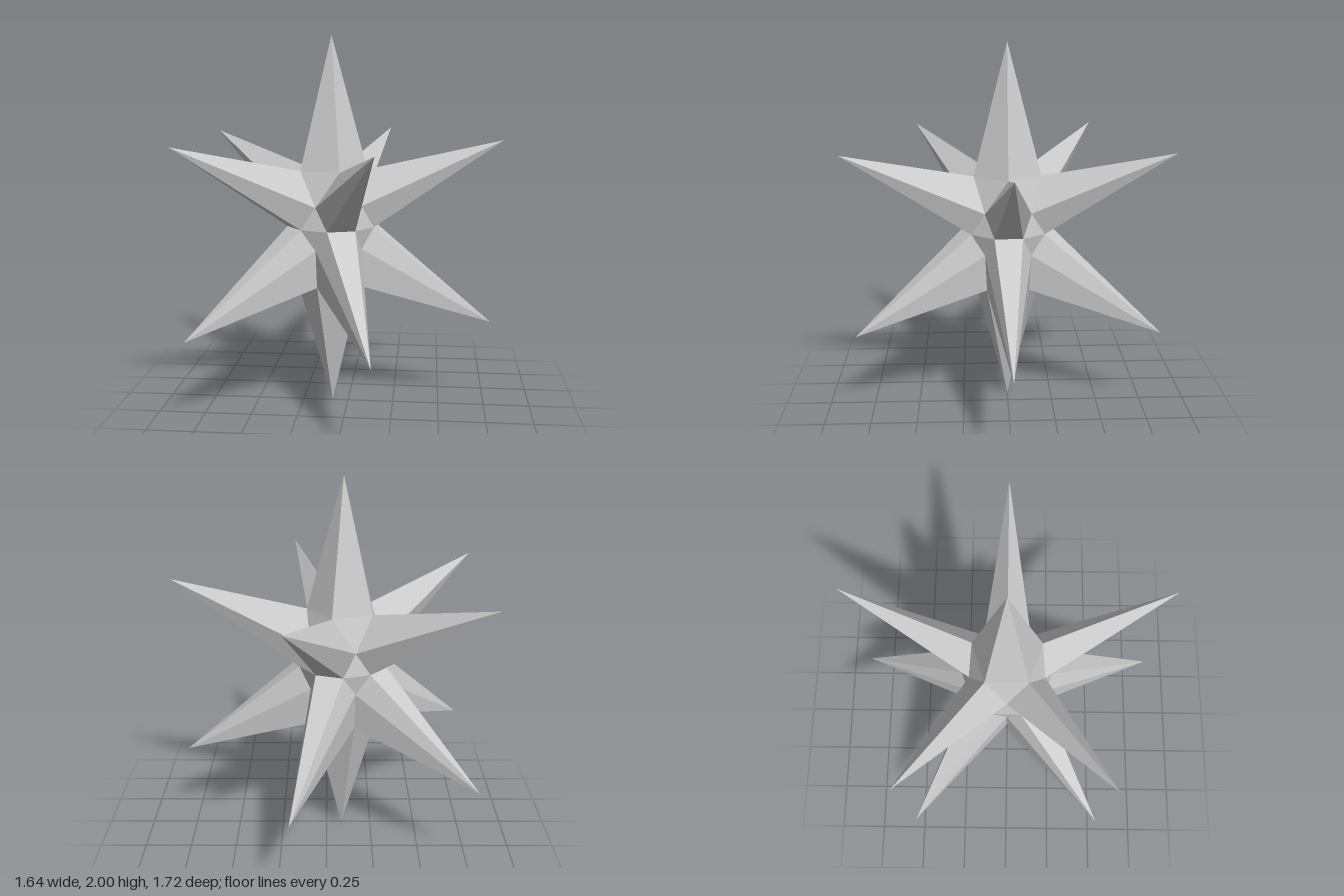
import * as THREE from 'three';

// Point from angle in degrees (x towards z), radius and height about the star's centre
const P = (deg, r, y) => {
  const a = THREE.MathUtils.degToRad(deg);
  return [r * Math.cos(a), y, r * Math.sin(a)];
};

// Valley points of the core, by angle
const crown = a => P(a, 0.19, 0.3);
const upperSide = a => P(a, 0.21, 0.12);
const waist = a => P(a, 0.242, 0);
const lowerSide = a => P(a, 0.21, -0.11);
const foot = a => P(a, 0.195, -0.31);

const material = new THREE.MeshStandardMaterial({ color: 0xcccccc, flatShading: true });

function facets(name, triangles) {
  const g = new THREE.BufferGeometry();
  g.setAttribute('position', new THREE.Float32BufferAttribute(triangles.flat(2), 3));
  g.computeVertexNormals();
  const mesh = new THREE.Mesh(g, material);
  mesh.name = name;
  return mesh;
}

// Open pyramid from a tip to a ring that runs counter-clockwise seen from outside
const spike = (name, tip, ring) =>
  facets(name, ring.map((p, i) => [tip, p, ring[(i + 1) % ring.length]]));

export function createModel() {
  const star = new THREE.Group();
  star.name = 'spikedStar';
  star.position.set(-0.086, 1, 0);

  const angles = [0, 72, 144, 216, 288];

  // Vertical spikes
  star.add(spike('topSpike', [0, 1, 0], angles.map(a => crown(-a))));
  star.add(spike('bottomSpike', [0, -1, 0], angles.map(a => foot(a + 36))));

  for (const a of angles) {
    // Upper spike on a five-sided base
    star.add(spike('upperSpike', P(a, 0.904, 0.46), [
      crown(a), upperSide(a + 36), waist(a + 18), waist(a - 18), upperSide(a - 36),
    ]));

    // Lower spike on a six-sided base
    star.add(spike('lowerSpike', P(a, 0.86, -0.525), [
      waist(a - 18), waist(a + 18), lowerSide(a + 36),
      foot(a + 36), foot(a - 36), lowerSide(a - 36),
    ]));

    // Core facets left between the spikes
    const m = a + 36;
    star.add(facets('coreFacets', [
      [crown(a), crown(a + 72), upperSide(m)],
      [upperSide(m), waist(m + 18), waist(m - 18)],
      [waist(m - 18), waist(m + 18), lowerSide(m)],
    ]));
  }

  const model = new THREE.Group();
  model.add(star);
  return model;
}
